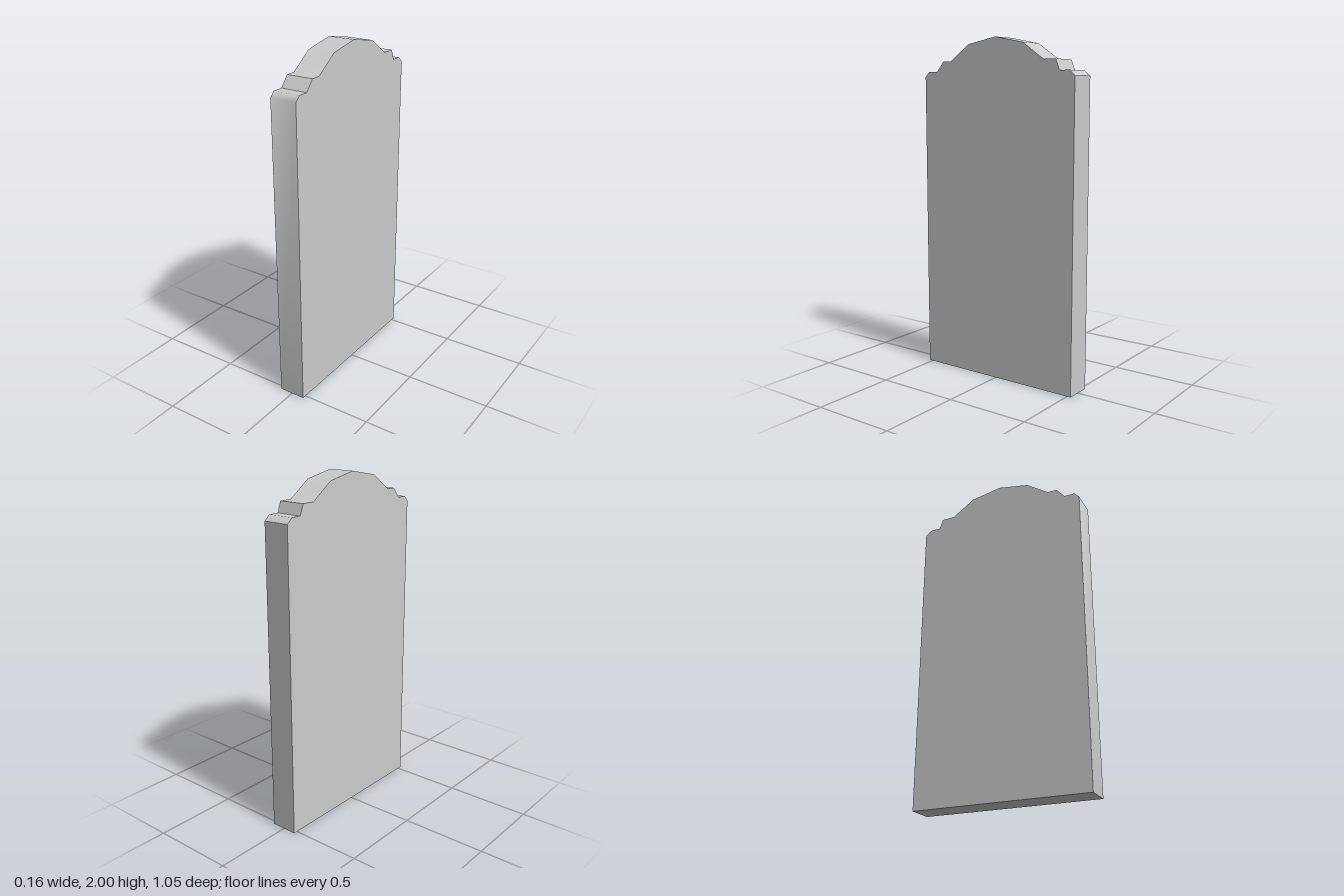
import * as THREE from 'three';
import { toCreasedNormals } from 'three/addons/utils/BufferGeometryUtils.js';

const THICKNESS = 0.16;

export function createModel() {
  const group = new THREE.Group();
  group.name = 'headstone';

  // Slab outline as [z, y]: straight sides, stepped shoulders, faceted arch on top
  const outline = [
    [-0.524, 0], [0.524, 0],
    [0.524, 1.78], [0.495, 1.81], [0.432, 1.81], [0.382, 1.87], [0.325, 1.87],
    [0.19, 1.964], [0, 2], [-0.187, 1.964],
    [-0.325, 1.87], [-0.404, 1.87], [-0.427, 1.81], [-0.488, 1.81], [-0.524, 1.78],
  ];
  const shape = new THREE.Shape(outline.map(([z, y]) => new THREE.Vector2(z, y)));

  // Extrude, then turn so the broad faces look along x
  const slab = new THREE.ExtrudeGeometry(shape, { depth: THICKNESS, bevelEnabled: false });
  slab.translate(0, 0, -THICKNESS / 2);
  slab.rotateY(-Math.PI / 2);

  // Soft shading over the arch and shoulder chamfers, sharp at the steps and corners
  const mesh = new THREE.Mesh(
    toCreasedNormals(slab, THREE.MathUtils.degToRad(47)),
    new THREE.MeshStandardMaterial({ color: 0xcccccc })
  );
  mesh.name = 'stoneSlab';
  group.add(mesh);
  return group;
}
